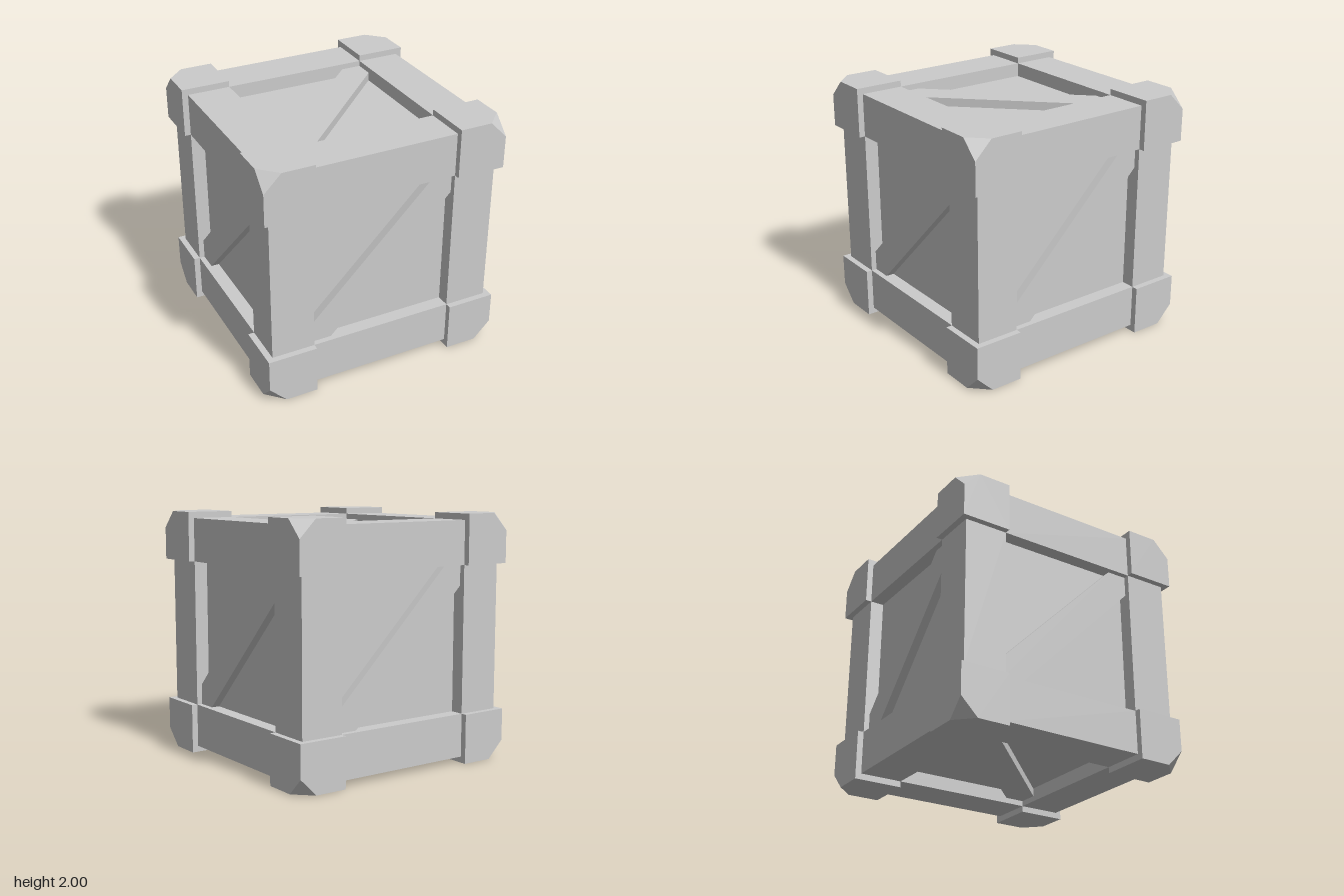
import * as THREE from 'three';
import { ConvexGeometry } from 'three/addons/geometries/ConvexGeometry.js';

const INNER = 0.597;  // inner edge of beams and corner blocks
const BEAM = 0.95;    // outer face of beams
const BRACE = 0.905;  // outer face of diagonal braces
const PANEL = 0.837;  // outer face of panels
const CUT = 0.14;     // size of the clipped corner

export function createModel() {
  const crate = new THREE.Group();
  crate.name = 'crate';
  const material = new THREE.MeshStandardMaterial({ color: 0xcccccc, flatShading: true });

  const add = (name, geometry, parent) => {
    const mesh = new THREE.Mesh(geometry, material);
    mesh.name = name;
    parent.add(mesh);
    return mesh;
  };

  // everything is built around the origin, then lifted onto the ground
  const body = new THREE.Group();
  body.name = 'body';
  body.position.y = 1;
  crate.add(body);

  // closed box forming the six recessed panels
  add('panels', new THREE.BoxGeometry(2 * PANEL, 2 * PANEL, 2 * PANEL), body);

  // eight corner blocks, each with its outer tip cut off
  const a = INNER, b = 1, c = 1 - CUT;
  const blockPoints = [
    [a, a, a], [b, a, a], [a, b, a], [a, a, b],
    [b, b, a], [b, a, b], [a, b, b],
    [c, b, b], [b, c, b], [b, b, c],
  ];
  for (const sx of [-1, 1]) for (const sy of [-1, 1]) for (const sz of [-1, 1]) {
    const points = blockPoints.map(([x, y, z]) => new THREE.Vector3(x * sx, y * sy, z * sz));
    add('cornerBlock', new ConvexGeometry(points), body);
  }

  // twelve edge beams, four along each axis
  const thick = BEAM - INNER, mid = (BEAM + INNER) / 2;
  for (let axis = 0; axis < 3; axis++) {
    for (const s of [-1, 1]) for (const t of [-1, 1]) {
      const size = [thick, thick, thick], pos = [0, 0, 0];
      size[axis] = 2 * INNER;
      pos[(axis + 1) % 3] = s * mid;
      pos[(axis + 2) % 3] = t * mid;
      add('edgeBeam', new THREE.BoxGeometry(...size), body).position.set(...pos);
    }
  }

  // diagonal brace, clipped to the frame opening
  const e = INNER, d = INNER - 0.165;
  const outline = [[-e, -e], [-d, -e], [e, d], [e, e], [d, e], [-e, -d]];
  const braceGeometry = new THREE.ExtrudeGeometry(
    new THREE.Shape(outline.map(([x, y]) => new THREE.Vector2(x, y))),
    { depth: BRACE - PANEL + 0.02, bevelEnabled: false },
  );
  braceGeometry.translate(0, 0, PANEL - 0.02);

  // one brace on each face: front, right, back, left, top, bottom
  const q = Math.PI / 2;
  for (const [rx, ry] of [[0, 0], [0, q], [0, 2 * q], [0, -q], [-q, 0], [q, 0]]) {
    add('diagonalBrace', braceGeometry, body).rotation.set(rx, ry, 0);
  }

  return crate;
}
